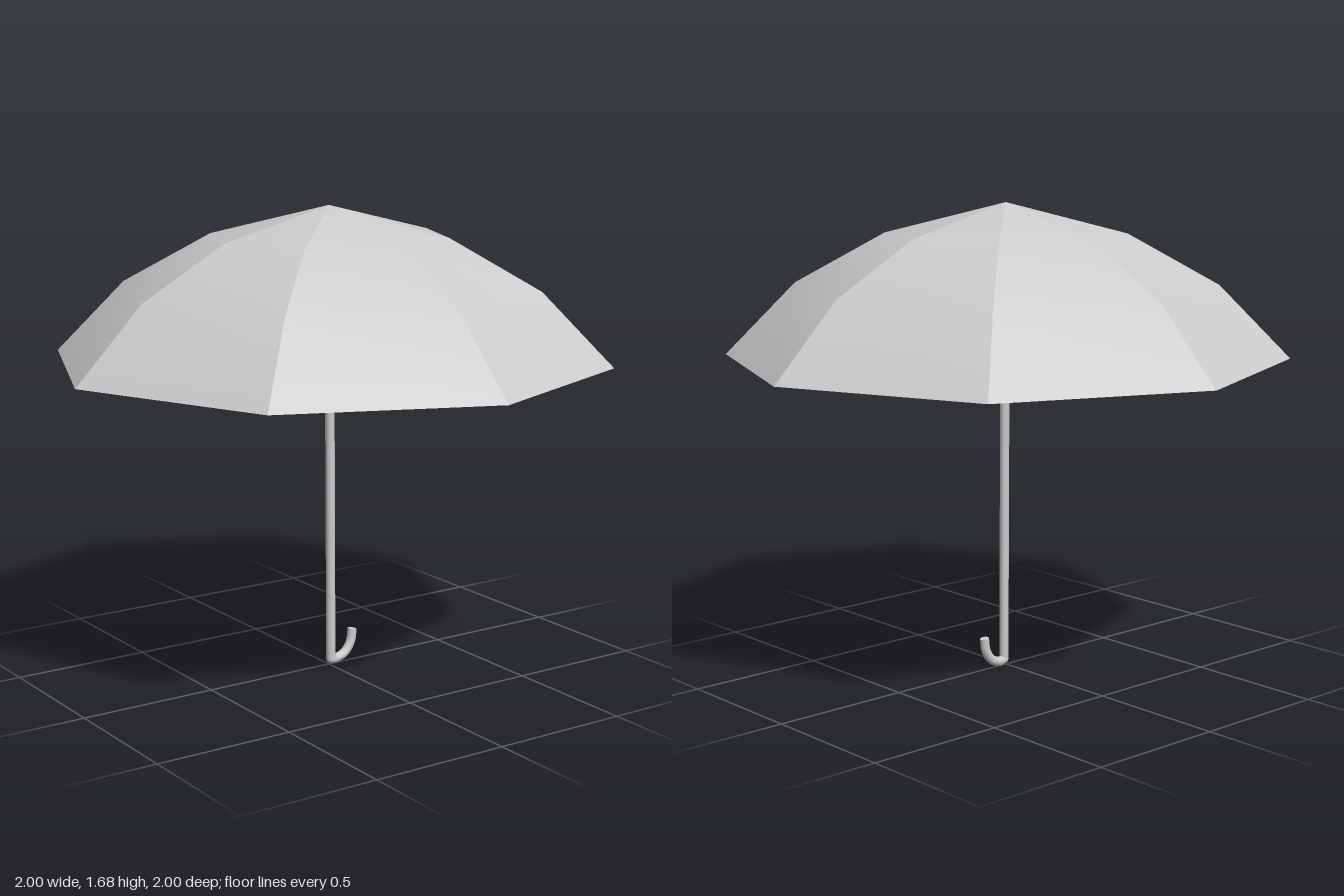
import * as THREE from 'three';

const material = new THREE.MeshStandardMaterial({ color: 0xcccccc, side: THREE.DoubleSide });
const SIDES = 8;
const RADIUS = 0.017;

function addMesh(group, name, geometry) {
  const mesh = new THREE.Mesh(geometry, material);
  mesh.name = name;
  group.add(mesh);
  return mesh;
}

// One gore of a dome: smooth along its length, creased against its neighbours
function goreGeometry(peak, profile, facesDown) {
  const a = (Math.PI * 2) / SIDES;
  const positions = [0, peak, 0];
  const index = [0, 1, 2];
  profile.forEach(([r, y], i) => {
    positions.push(0, y, r, r * Math.sin(a), y, r * Math.cos(a));
    if (i > 0) {
      const k = 2 * i - 1;
      index.push(k, k + 2, k + 3, k, k + 3, k + 1);
    }
  });
  if (facesDown) index.reverse();
  const geometry = new THREE.BufferGeometry();
  geometry.setAttribute('position', new THREE.Float32BufferAttribute(positions, 3));
  geometry.setIndex(index);
  geometry.computeVertexNormals();
  return geometry;
}

function addDome(model, name, gore) {
  const dome = new THREE.Group();
  dome.name = name;
  for (let i = 0; i < SIDES; i++) {
    addMesh(dome, name + 'Panel', gore).rotation.y = (i / SIDES) * Math.PI * 2;
  }
  model.add(dome);
}

export function createModel() {
  const model = new THREE.Group();
  model.name = 'umbrella';

  // Canopy, with a shallow conical underside that meets it at the rim
  addDome(model, 'canopy', goreGeometry(1.675, [[0.425, 1.568], [0.747, 1.39], [1, 1.132]], false));
  addDome(model, 'underside', goreGeometry(1.37, [[1, 1.132]], true));

  // Shaft, leaning very slightly and ending at the peak of the underside
  const bottom = new THREE.Vector3(0.007, 0.02, 0.003);
  const top = new THREE.Vector3(0, 1.375, 0.004);
  const axis = top.clone().sub(bottom);
  const shaft = addMesh(model, 'shaft', new THREE.CylinderGeometry(RADIUS, RADIUS, axis.length(), 12));
  shaft.position.copy(bottom).add(top).multiplyScalar(0.5);
  shaft.quaternion.setFromUnitVectors(new THREE.Vector3(0, 1, 0), axis.normalize());

  // Rounded joint between shaft and handle
  addMesh(model, 'handleJoint', new THREE.SphereGeometry(RADIUS, 12, 8)).position.copy(bottom);

  // Hooked handle
  const path = new THREE.CatmullRomCurve3([
    bottom,
    new THREE.Vector3(0.035, 0.017, -0.001),
    new THREE.Vector3(0.073, 0.033, -0.002),
    new THREE.Vector3(0.098, 0.07, -0.002),
    new THREE.Vector3(0.105, 0.117, -0.002),
  ]);
  addMesh(model, 'handle', new THREE.TubeGeometry(path, 16, RADIUS, 12));
  const cap = addMesh(model, 'handleCap', new THREE.CircleGeometry(RADIUS, 12));
  cap.position.copy(path.getPoint(1));
  cap.quaternion.setFromUnitVectors(new THREE.Vector3(0, 0, 1), path.getTangent(1));

  return model;
}
